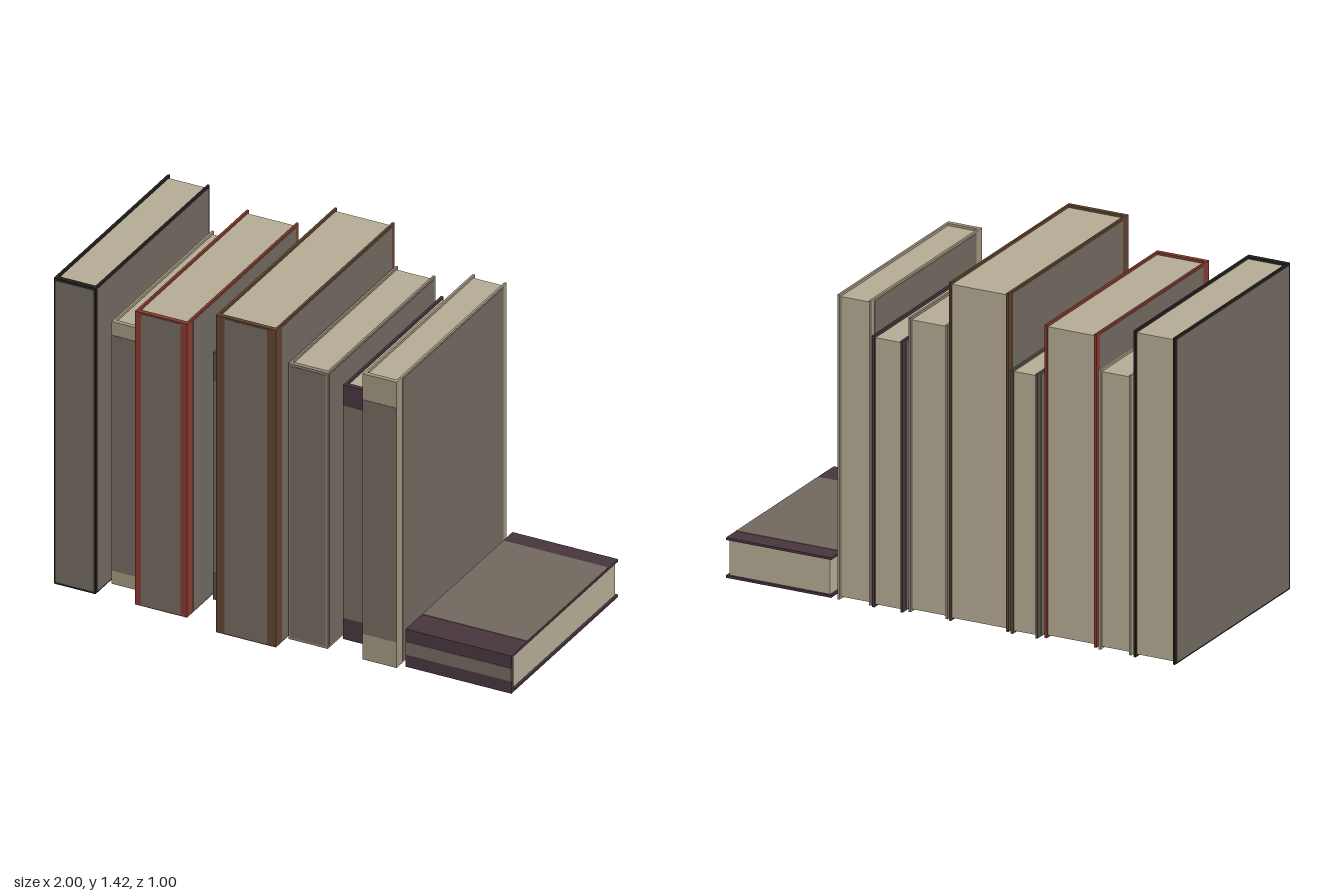
import * as THREE from 'three';

const PAPER = 0xb5ac95, PANEL = 0x71685f;
const BOARD = 0.01;   // cover board thickness
const SPINE = 0.02;   // spine thickness
const INSET = 0.01;   // how far the pages sit inside the covers
const RAISE = 0.002;  // how far the panels stand proud

const material = (color) => new THREE.MeshStandardMaterial({ color, flatShading: true });

function addBox(group, name, color, size, position) {
  const mesh = new THREE.Mesh(new THREE.BoxGeometry(...size), material(color));
  mesh.name = name;
  mesh.position.set(...position);
  group.add(mesh);
}

// Book standing on y = 0, centred on x and z, spine facing +z.
// spineX, spineLow, spineTop: margins of the spine panel.
// sideFront, sideBack, sideEnd: margins of the two cover panels.
function createBook({ t, h, d, color, spineX = 0, spineLow = 0, spineTop = 0,
  sideFront = 0.05, sideBack = 0.028, sideEnd = 0.008 }) {
  const book = new THREE.Group();
  const x = t / 2, z = d / 2;

  // U-shaped case: two boards joined by the spine
  const outline = new THREE.Shape([
    [-x, -z], [x, -z], [x, z], [x - BOARD, z], [x - BOARD, z - SPINE],
    [-x + BOARD, z - SPINE], [-x + BOARD, z], [-x, z],
  ].length ? [
    [-x, -z], [x, -z], [x, z], [x - BOARD, z], [x - BOARD, -z + SPINE],
    [-x + BOARD, -z + SPINE], [-x + BOARD, z], [-x, z],
  ].map(([a, b]) => new THREE.Vector2(a, b)) : []);
  const geometry = new THREE.ExtrudeGeometry(outline, { depth: h, bevelEnabled: false });
  geometry.rotateX(-Math.PI / 2);
  const cover = new THREE.Mesh(geometry, material(color));
  cover.name = 'cover';
  book.add(cover);

  // Page block
  addBox(book, 'pages', PAPER,
    [t - 2 * BOARD, h - 2 * INSET, d - SPINE - INSET],
    [0, h / 2, (INSET - SPINE) / 2]);

  // Spine panel
  addBox(book, 'spinePanel', PANEL,
    [t - 2 * spineX, h - spineLow - spineTop, RAISE * 2],
    [0, (h + spineLow - spineTop) / 2, z]);

  // Cover panels
  for (const side of [-1, 1]) {
    addBox(book, side > 0 ? 'leftPanel' : 'rightPanel', PANEL,
      [RAISE * 2, h - 2 * sideEnd, d - sideFront - sideBack],
      [side * x, h / 2, (sideBack - sideFront) / 2]);
  }
  return book;
}

export function createModel() {
  const model = new THREE.Group();
  model.name = 'bookRow';

  // Standing books: x range, height, back and front z, colour, panel margins
  const framed = { spineX: 0.009, spineLow: 0.01, spineTop: 0.01, sideFront: 0.012, sideBack: 0.012 };
  const books = [
    { x: [-1, -0.815], h: 1.365, z: [-0.5, 0.45], color: 0x23221f, ...framed },
    { x: [-0.8, -0.655], h: 1.17, z: [-0.49, 0.345], color: 0x9f957d, spineLow: 0.06, spineTop: 0.06 },
    { x: [-0.64, -0.41], h: 1.31, z: [-0.48, 0.45], color: 0x84392f, spineX: 0.028, spineLow: 0.006, spineTop: 0.006 },
    { x: [-0.39, -0.27], h: 1.105, z: [-0.5, 0.27], color: 0x544e44, spineLow: 0.125, spineTop: 0.125 },
    { x: [-0.255, 0.01], h: 1.415, z: [-0.49, 0.5], color: 0x5f4330, spineX: 0.038, spineLow: 0.006, spineTop: 0.006 },
    { x: [0.02, 0.195], h: 1.23, z: [-0.48, 0.415], color: 0x8c8373, ...framed },
    { x: [0.21, 0.345], h: 1.135, z: [-0.5, 0.315], color: 0x48353f, spineLow: 0.095, spineTop: 0.09 },
    { x: [0.355, 0.505], h: 1.275, z: [-0.49, 0.425], color: 0x9f957d, spineLow: 0.115, spineTop: 0.115 },
  ];
  books.forEach(({ x, z, ...rest }, i) => {
    const book = createBook({ t: x[1] - x[0], d: z[1] - z[0], ...rest });
    book.name = `standingBook${i + 1}`;
    book.position.set((x[0] + x[1]) / 2, 0, (z[0] + z[1]) / 2);
    model.add(book);
  });

  // Book lying flat beside the row, spine still facing the front
  const lying = createBook({
    t: 0.168, h: 0.468, d: 0.89, color: 0x48353f,
    spineX: 0.055, sideFront: 0.135, sideBack: 0.08, sideEnd: 0.002,
  });
  lying.name = 'lyingBook';
  lying.rotation.z = Math.PI / 2;
  lying.position.set(1, 0.085, -0.045);
  model.add(lying);

  return model;
}
